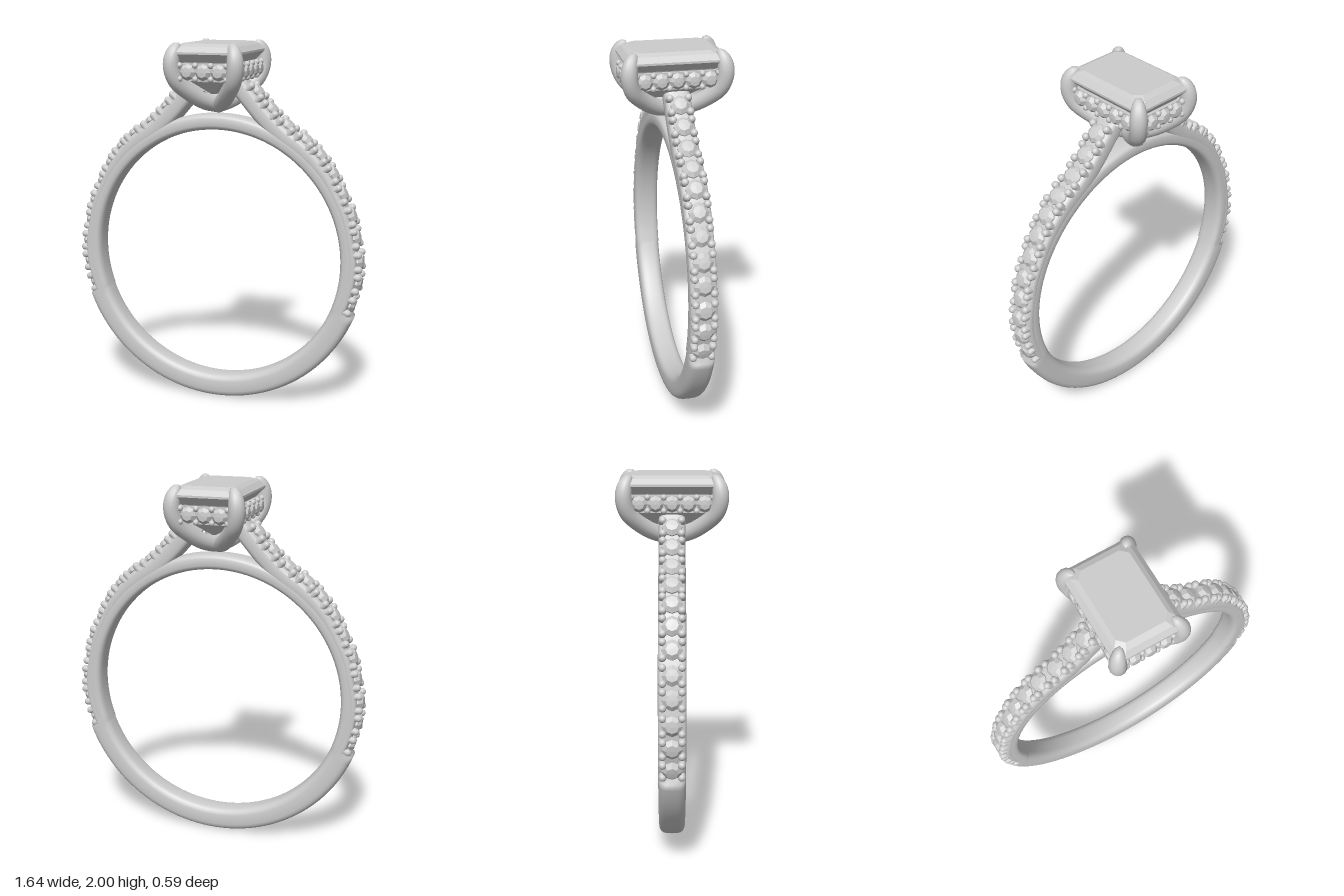
import * as THREE from 'three';

const V = (x, y, z = 0) => new THREE.Vector3(x, y, z);

// Skin a list of equal-length cross-section rings
function loft(rings, closed, flat) {
  const n = rings[0].length, m = rings.length, pos = [], idx = [];
  rings.forEach(r => r.forEach(p => pos.push(p.x, p.y, p.z)));
  for (let i = 0; i < (closed ? m : m - 1); i++) {
    for (let j = 0; j < n; j++) {
      const a = i * n + j, b = ((i + 1) % m) * n + j;
      const c = i * n + (j + 1) % n, d = ((i + 1) % m) * n + (j + 1) % n;
      idx.push(a, b, c, b, d, c);
    }
  }
  if (!closed) {
    [rings[0], rings[m - 1]].forEach((r, e) => {
      const k = pos.length / 3, mid = V(0, 0);
      r.forEach(p => mid.addScaledVector(p, 1 / n));
      r.forEach(p => pos.push(p.x, p.y, p.z));
      pos.push(mid.x, mid.y, mid.z);
      for (let j = 0; j < n; j++) {
        const a = k + j, b = k + (j + 1) % n;
        idx.push(k + n, e ? b : a, e ? a : b);
      }
    });
  }
  let g = new THREE.BufferGeometry();
  g.setAttribute('position', new THREE.Float32BufferAttribute(pos, 3));
  g.setIndex(idx);
  if (flat) g = g.toNonIndexed();
  g.computeVertexNormals();
  return g;
}

// Soft-cornered section between an inner and an outer point
function section(inner, outer, halfWidth) {
  const soft = v => Math.sign(v) * Math.pow(Math.abs(v), 0.62), ring = [];
  for (let j = 0; j < 24; j++) {
    const a = j / 24 * Math.PI * 2;
    const p = inner.clone().lerp(outer, 0.5 + 0.5 * soft(Math.cos(a)));
    p.z = halfWidth * soft(Math.sin(a));
    ring.push(p);
  }
  return ring;
}

// Rectangle with cut corners
function octagon(hx, hz, cut, y) {
  return [[hx, hz - cut], [hx - cut, hz], [cut - hx, hz], [-hx, hz - cut],
    [-hx, cut - hz], [cut - hx, -hz], [hx - cut, -hz], [hx, cut - hz]].map(([x, z]) => V(x, y, z));
}

export function createModel() {
  const model = new THREE.Group();
  const silver = new THREE.MeshStandardMaterial({ color: 0xcccccc });
  silver.name = 'silver';
  const add = (parent, name, geo) => {
    const mesh = new THREE.Mesh(geo, silver);
    mesh.name = name;
    parent.add(mesh);
    return mesh;
  };

  // Shank: full ring, thick below and stepped down under the small stones
  const rings = [], start = -20.5, cy = 0.83;
  const addRing = (deg, r) => {
    const d = V(Math.cos(deg * Math.PI / 180), Math.sin(deg * Math.PI / 180));
    rings.push(section(d.clone().multiplyScalar(0.697).add(V(0, cy)), d.clone().multiplyScalar(r).add(V(0, cy)), 0.07));
  };
  for (let k = 0; k <= 60; k++) addRing(start + 0.8 + k / 60 * (180 - 2 * start - 1.6), 0.785);
  for (let k = 0; k <= 48; k++) addRing(180 - start + k / 48 * (180 + 2 * start), 0.828);
  add(model, 'shank', loft(rings, true));

  // Small round stone, table facing +y
  const gemGeo = new THREE.LatheGeometry([[0, -0.05], [0.053, -0.005], [0.053, 0.003], [0.032, 0.022], [0, 0.024]]
    .map(p => new THREE.Vector2(...p)), 8).toNonIndexed();
  gemGeo.computeVertexNormals();
  const beadGeo = new THREE.CapsuleGeometry(0.02, 0.04, 5, 10);

  // Shoulder: centres of the set stones, from the side up to the head
  const centres = [[0.751, 0.61], [0.783, 0.735], [0.788, 0.855], [0.767, 0.98], [0.74, 1.095], [0.688, 1.21],
    [0.635, 1.315], [0.566, 1.41], [0.487, 1.487], [0.386, 1.56], [0.296, 1.645], [0.217, 1.735]];
  const line = new THREE.CatmullRomCurve3([[0.725, 0.55], ...centres, [0.165, 1.795]].map(p => V(...p)));
  for (const side of [0, 1]) {
    const shoulder = new THREE.Group();
    shoulder.name = side ? 'rightShoulder' : 'leftShoulder';
    shoulder.rotation.y = side * Math.PI;
    model.add(shoulder);
    const bars = [];
    for (let k = 0; k <= 60; k++) {
      const t = k / 60, p = line.getPoint(t), d = line.getTangent(t), nrm = V(d.y, -d.x);
      const depth = 0.05 + 0.05 * THREE.MathUtils.smoothstep(t, 0.4, 0.75);
      bars.push(section(p.clone().addScaledVector(nrm, -depth), p.clone().addScaledVector(nrm, 0.002), 0.07));
    }
    add(shoulder, 'shoulderBar', loft(bars, false));
    centres.forEach((c, i) => {
      const d = line.getTangent((i + 1) / (centres.length + 1));
      const seat = new THREE.Group();
      seat.name = 'stoneSetting';
      seat.position.set(c[0], c[1], 0);
      seat.rotation.z = Math.atan2(d.y, d.x) - Math.PI;
      shoulder.add(seat);
      add(seat, 'smallStone', gemGeo).position.y = 0.006;
      for (const sx of [-1, 1]) for (const sz of [-1, 1]) {
        add(seat, 'bead', beadGeo).position.set(sx * 0.039, -0.01, sz * 0.048);
      }
    });
  }

  // Head
  const head = new THREE.Group();
  head.name = 'head';
  model.add(head);

  // Large step-cut stone
  add(head, 'centreStone', loft([
    octagon(0.012, 0.09, 0.004, 1.725), octagon(0.1, 0.185, 0.02, 1.795), octagon(0.15, 0.23, 0.035, 1.9),
    octagon(0.192, 0.268, 0.045, 1.942), octagon(0.192, 0.268, 0.045, 1.953),
    octagon(0.165, 0.243, 0.04, 1.98), octagon(0.14, 0.21, 0.035, 1.995)], false, true));

  // Gallery rail under the large stone, open in the middle
  const outline = (hx, hz, cut) => octagon(hx, hz, cut, 0).map(p => new THREE.Vector2(p.x, p.z));
  const railShape = new THREE.Shape(outline(0.165, 0.245, 0.05));
  railShape.holes.push(new THREE.Path(outline(0.11, 0.19, 0.03)));
  const railGeo = new THREE.ExtrudeGeometry(railShape, { depth: 0.09, bevelEnabled: false });
  railGeo.rotateX(-Math.PI / 2);
  add(head, 'galleryRail', railGeo).position.y = 1.805;

  // Stones and beads set around the rail
  const smallBead = new THREE.SphereGeometry(0.016, 10, 8);
  for (let q = 0; q < 4; q++) {
    const row = new THREE.Group();
    row.name = 'galleryRow';
    row.rotation.y = q * Math.PI / 2;
    head.add(row);
    const count = q % 2 ? 5 : 3, face = q % 2 ? 0.165 : 0.245;
    for (let i = 0; i < count; i++) {
      const stone = add(row, 'galleryStone', gemGeo);
      stone.position.set((i - (count - 1) / 2) * 0.085, 1.85, face + 0.005);
      stone.rotation.x = Math.PI / 2;
      stone.scale.set(0.82, 1, 0.82);
    }
    for (let i = 0; i <= count; i++) for (const s of [-1, 1]) {
      add(row, 'galleryBead', smallBead).position.set((i - count / 2) * 0.085, 1.85 + s * 0.035, face + 0.008);
    }
  }

  // Four curved claws meeting under the stone, tips tapered over its corners
  const n = 48, sides = 14;
  for (const sx of [-1, 1]) for (const sz of [-1, 1]) {
    const path = new THREE.CatmullRomCurve3([[0, 1.662, 0], [0.05, 1.685, 0.085], [0.105, 1.735, 0.165],
      [0.155, 1.8, 0.228], [0.174, 1.87, 0.25], [0.17, 1.935, 0.246], [0.152, 1.98, 0.225], [0.138, 1.99, 0.208]]
      .map(([x, y, z]) => V(sx * x, y, sz * z)));
    const geo = new THREE.TubeGeometry(path, n, 0.044, sides), pos = geo.attributes.position;
    for (let i = 0; i <= n; i++) {
      const s = Math.max(0, (i / n - 0.76) / 0.24), r = Math.sqrt(1 - s * s), c = path.getPointAt(i / n);
      for (let j = 0; j <= sides; j++) {
        const k = i * (sides + 1) + j, p = V(0, 0).fromBufferAttribute(pos, k);
        p.sub(c).multiplyScalar(r).add(c);
        pos.setXYZ(k, p.x, Math.min(p.y, 2), p.z);
      }
    }
    geo.computeVertexNormals();
    add(head, 'claw', geo);
  }
  add(head, 'clawJoint', new THREE.SphereGeometry(0.044, 16, 12)).position.y = 1.662;
  return model;
}
